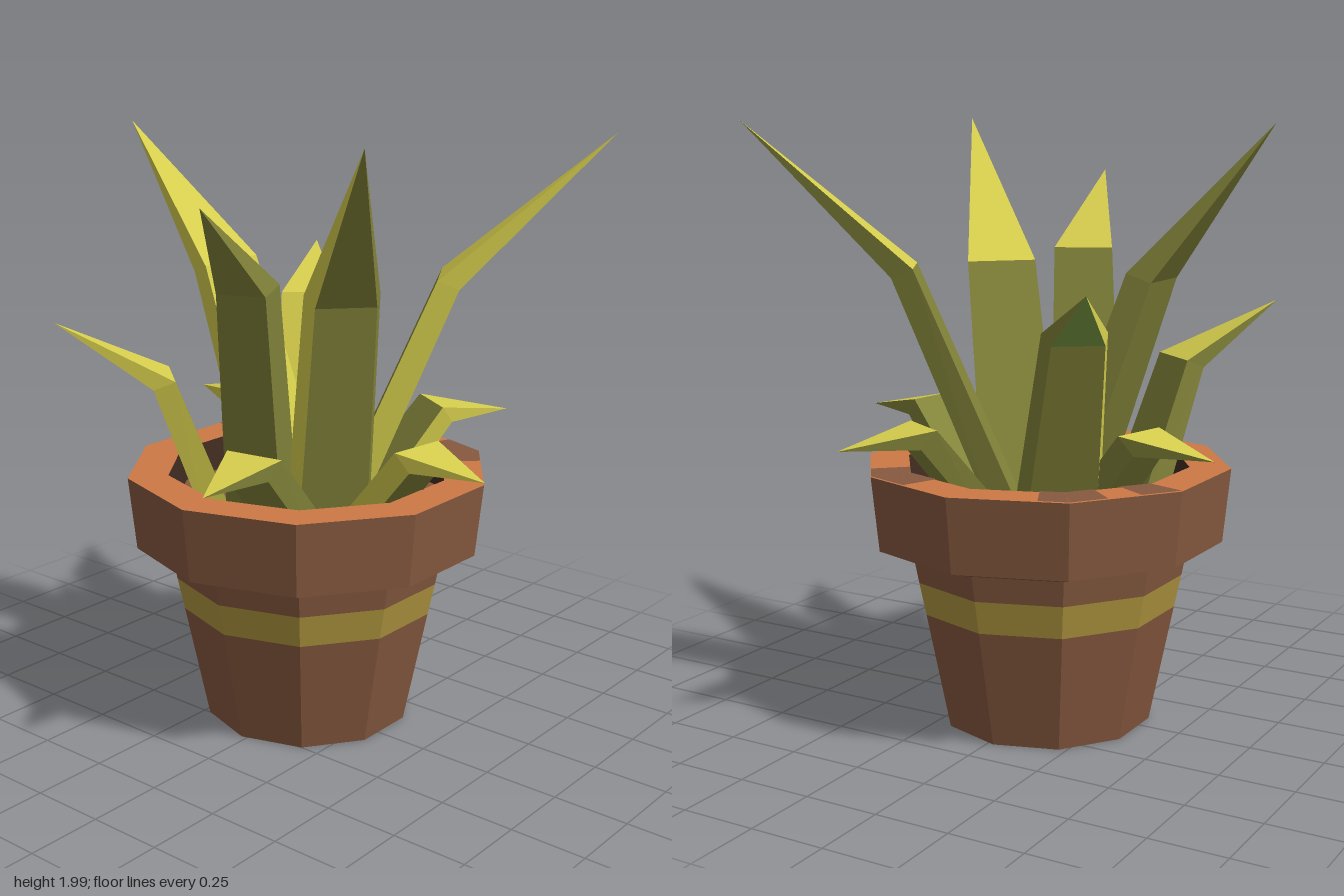
import * as THREE from 'three';

const mat = (name, color, side = THREE.FrontSide) => {
  const m = new THREE.MeshStandardMaterial({ color, flatShading: true, side });
  m.name = name;
  return m;
};

export function createModel() {
  const brown = mat('clay brown', 0x86593f);
  const orange = mat('rim orange', 0xcc7945);
  const gold = mat('stripe gold', 0xb0963f);
  const dark = mat('inner wall dark', 0x3f2b20, THREE.DoubleSide);
  const yellow = mat('leaf yellow', 0xd6ce4d);
  const olive = mat('leaf olive', 0x84853a);
  const green = mat('leaf green', 0x83a448);
  const leafMats = [yellow, olive, green];

  const model = new THREE.Group();
  model.name = 'pottedPlant';
  const pot = new THREE.Group();
  pot.name = 'pot';
  pot.position.set(-0.02, 0, -0.034);
  model.add(pot);

  const addTo = (parent, name, geo, material) => {
    const mesh = new THREE.Mesh(geo, material);
    mesh.name = name;
    parent.add(mesh);
    return mesh;
  };

  // Ten-sided bands of the pot: name, bottom y, bottom radius, top y, top radius
  const bands = [
    ['lowerBody', 0, 0.35, 0.395, 0.43, brown],
    ['stripe', 0.395, 0.43, 0.505, 0.453, gold],
    ['upperBody', 0.505, 0.453, 0.59, 0.47, brown],
    ['rimUnderside', 0.59, 0.47, 0.625, 0.585, brown],
    ['rimSide', 0.625, 0.585, 0.87, 0.61, brown],
    ['innerWall', 0.76, 0.455, 0.87, 0.475, dark],
  ];
  for (const [name, y0, r0, y1, r1, m] of bands) {
    const geo = new THREE.CylinderGeometry(r1, r0, y1 - y0, 10, 1, true);
    addTo(pot, name, geo, m).position.y = (y0 + y1) / 2;
  }
  const disc = (name, geo, y, up, m) => {
    const mesh = addTo(pot, name, geo, m);
    mesh.rotation.x = up ? -Math.PI / 2 : Math.PI / 2;
    mesh.position.y = y;
  };
  disc('potBase', new THREE.CircleGeometry(0.35, 10, Math.PI / 2), 0, false, brown);
  disc('soil', new THREE.CircleGeometry(0.457, 10, Math.PI / 2), 0.762, true, brown);
  disc('rimTop', new THREE.RingGeometry(0.475, 0.61, 10, 1, Math.PI / 2), 0.87, true, orange);

  // Brown patches on the rim; each lies within one side: angle in degrees, start and end
  for (const [a0, a1] of [[43, 54], [54, 70], [117, 126], [126, 138], [149, 162]]) {
    const shape = new THREE.Shape();
    const point = (deg, r) => {
      const t = THREE.MathUtils.degToRad(deg);
      const mid = THREE.MathUtils.degToRad(Math.floor((deg - 18 + 0.01) / 36) * 36 + 36);
      const k = r * Math.cos(Math.PI / 10) / Math.cos(t - mid);
      return new THREE.Vector2(k * Math.cos(t), k * Math.sin(t));
    };
    shape.setFromPoints([point(a0, 0.475), point(a0, 0.609), point(a1 - 0.05, 0.609), point(a1 - 0.05, 0.475)]);
    disc('rimPatch', new THREE.ShapeGeometry(shape), 0.873, true, brown);
  }

  // Leaf: four-sided blade from base through a bend to a pointed tip
  function leaf(name, base, bend, tip, baseWidth, bendWidth, low, innerColor, outerTipColor) {
    const [b, m, t] = [base, bend, tip].map((p) => new THREE.Vector3(...p));
    const d = t.clone().sub(b).setY(0).normalize();
    const s = new THREE.Vector3().crossVectors(d, new THREE.Vector3(0, 1, 0));
    const ring = (c, w, out, drop) => [[-1, 0], [1, 0], [0.8, 1], [-0.8, 1]].map(([k, o]) => {
      const p = c.clone().addScaledVector(s, k * w / 2).addScaledVector(d, o * out);
      p.y -= o * drop;
      return p;
    });
    const r0 = ring(b, baseWidth, 0.1, 0);
    const r1 = ring(m, bendWidth, low ? 0.045 : 0.07, low ? 0.06 : 0.03);
    const rightSide = s.z > 0 ? 0 : 1;
    const lower = [innerColor, rightSide, 1, 1 - rightSide];
    const upper = [0, rightSide, outerTipColor, 1 - rightSide];
    const pts = [];
    const geo = new THREE.BufferGeometry();
    for (let k = 0; k < 4; k++) {
      const n = (k + 1) % 4;
      geo.addGroup(pts.length, 6, lower[k]);
      pts.push(r0[k], r0[n], r1[n], r0[k], r1[n], r1[k]);
      geo.addGroup(pts.length, 3, upper[k]);
      pts.push(r1[k], r1[n], t);
    }
    geo.setFromPoints(pts);
    geo.computeVertexNormals();
    addTo(model, name, geo, leafMats);
  }

  const Y = 0.72;
  // Tall leaves
  leaf('tallLeafRight', [-0.08, Y, -0.065], [-0.38, 1.52, -0.06], [-0.79, 1.97, -0.01], 0.35, 0.28, false, 0, 1);
  leaf('tallLeafBack', [0.02, Y, -0.12], [0.32, 1.52, -0.29], [0.78, 1.98, -0.58], 0.3, 0.26, false, 1, 2);
  leaf('tallLeafLeft', [0.1, Y, 0.01], [0.25, 1.51, 0.13], [0.53, 1.99, 0.39], 0.28, 0.24, false, 1, 1);
  leaf('tallLeafFront', [-0.09, Y, 0.11], [0.04, 1.55, 0.325], [0.1, 1.81, 0.6], 0.24, 0.2, false, 1, 1);
  // Middle leaves
  leaf('middleLeafFront', [-0.22, Y, 0.14], [-0.32, 1.2, 0.3], [-0.58, 1.38, 0.57], 0.26, 0.22, false, 1, 2);
  leaf('middleLeafBack', [-0.17, Y, -0.24], [-0.34, 1.36, -0.43], [-0.515, 1.5, -0.685], 0.28, 0.2, false, 0, 2);
  // Short drooping leaves
  leaf('shortLeafBack', [0.04, Y, -0.24], [0.18, 1.04, -0.46], [0.33, 0.985, -0.71], 0.24, 0.2, true, 1, 2);
  leaf('shortLeafLeft', [0.2, Y, -0.01], [0.47, 1.04, 0.03], [0.745, 0.985, 0.06], 0.24, 0.2, true, 1, 1);
  leaf('shortLeafFront', [0.11, Y, 0.15], [0.14, 1.04, 0.42], [0.19, 0.985, 0.705], 0.24, 0.2, true, 1, 0);
  leaf('shortLeafRight', [-0.2, Y, -0.16], [-0.45, 1.04, -0.22], [-0.73, 0.985, -0.28], 0.24, 0.2, true, 1, 2);

  return model;
}
